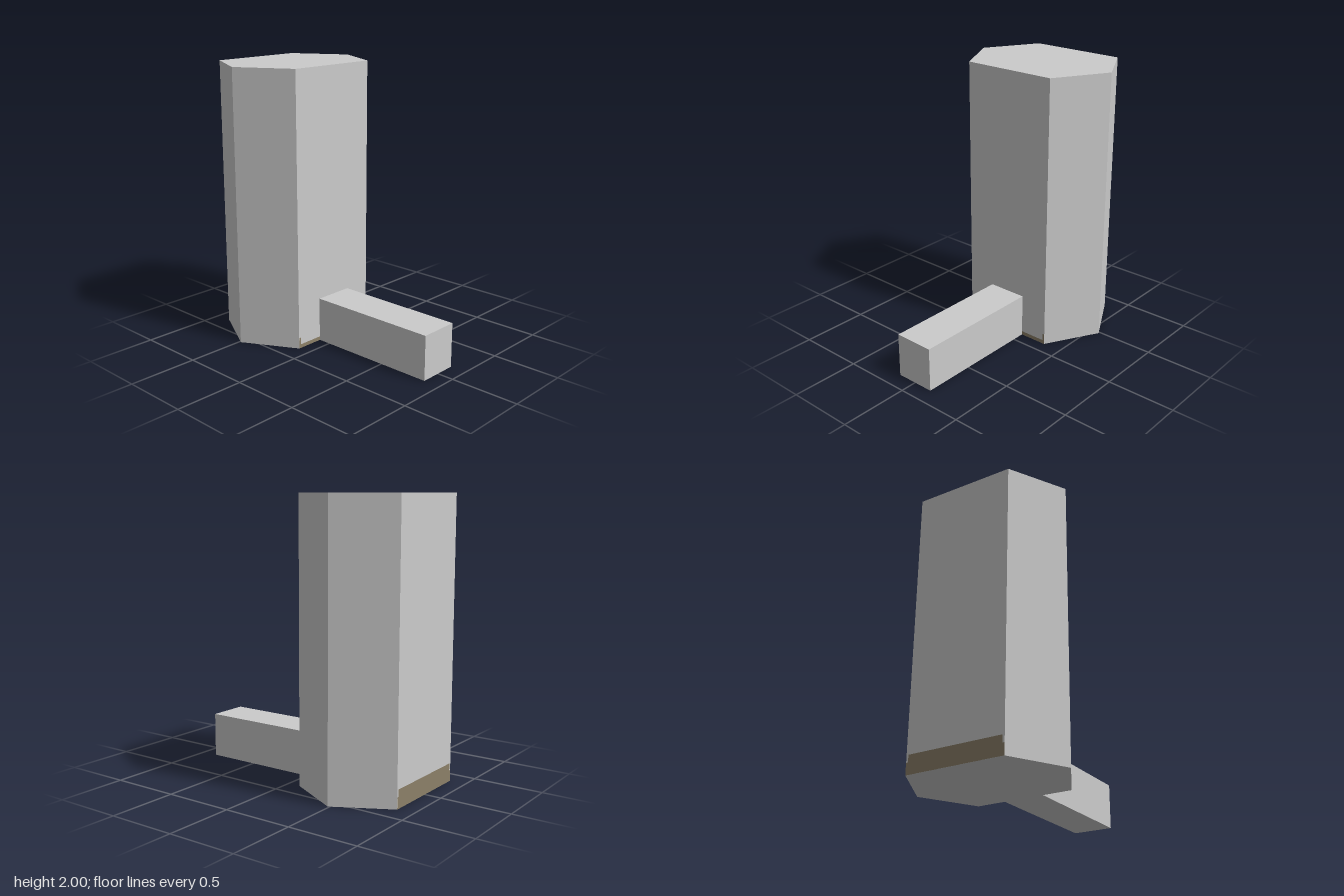
import * as THREE from 'three';

const HEIGHT = 2, LEFT = -0.095, RIGHT = -0.878, MID = (LEFT + RIGHT) / 2;
const CORNER_Z = 0.357, TIP_Z = 0.572;

const shapeOf = (pts) => new THREE.Shape(pts.map(([x, y]) => new THREE.Vector2(x, y)));

export function createModel() {
  const model = new THREE.Group();
  const grey = new THREE.MeshStandardMaterial({ color: 0xcccccc, flatShading: true });
  const brown = new THREE.MeshStandardMaterial({ color: 0x8c8068 });

  const add = (name, geometry, material) => {
    const mesh = new THREE.Mesh(geometry, material);
    mesh.name = name;
    model.add(mesh);
    return mesh;
  };

  // Six-sided tower, extruded upwards from its plan
  const plan = shapeOf([
    [MID, -TIP_Z], [LEFT, -CORNER_Z], [LEFT, CORNER_Z],
    [MID, TIP_Z], [RIGHT, CORNER_Z], [RIGHT, -CORNER_Z],
  ]);
  const tower = new THREE.ExtrudeGeometry(plan, { depth: HEIGHT, bevelEnabled: false });
  add('tower', tower.rotateX(-Math.PI / 2), grey);

  // Low arm reaching out from the left face
  const armLength = 0.878 - LEFT;
  const arm = add('arm', new THREE.BoxGeometry(armLength, 0.323, 0.294), grey);
  arm.position.set(LEFT + armLength / 2, 0.1615, 0);

  // Stepped brown trim along the foot of a side face: separate end and middle heights
  const addTrim = (name, x, side, endHeight, midHeight) => {
    const w = CORNER_Z, i = CORNER_Z - 0.015;
    const outline = shapeOf([
      [-w, 0], [w, 0], [w, endHeight], [i, endHeight],
      [i, midHeight], [-i, midHeight], [-i, endHeight], [-w, endHeight],
    ]);
    const trim = add(name, new THREE.ShapeGeometry(outline), brown);
    trim.rotation.y = side * Math.PI / 2;
    trim.position.x = x + side * 0.001;
  };
  addTrim('leftFootTrim', LEFT, 1, 0.08, 0.028);
  addTrim('rightFootTrim', RIGHT, -1, 0.08, 0.13);

  return model;
}
